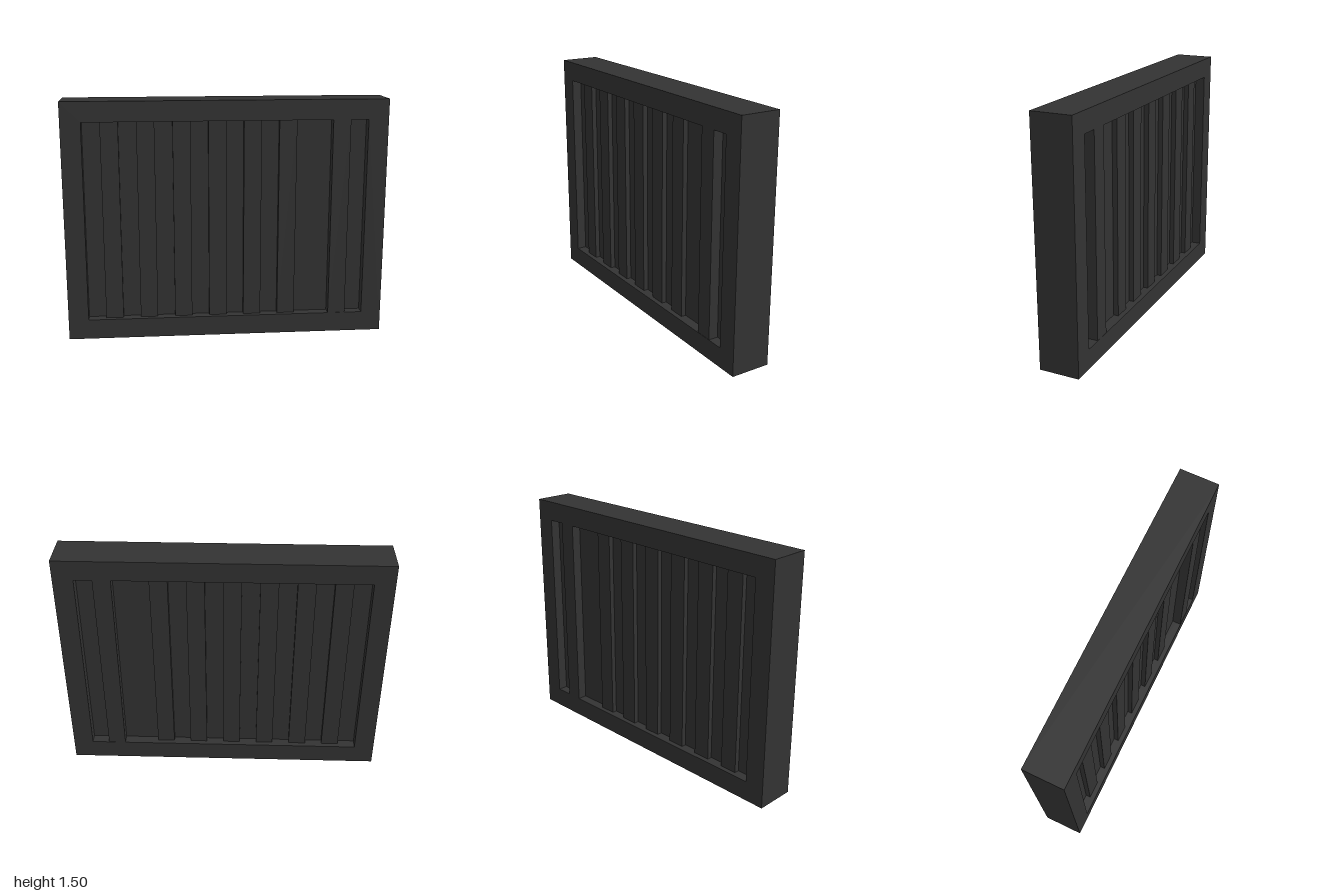
import * as THREE from 'three';

const W = 2, H = 1.5, D = 0.25, BORDER = 0.125;
const innerW = W - 2 * BORDER, innerH = H - 2 * BORDER;
const STRIP = innerW / 16;

export function createModel() {
  const group = new THREE.Group();
  const charcoal = new THREE.MeshStandardMaterial({ color: 0x333333 });
  charcoal.name = 'charcoal';

  const add = (name, geometry, x, y, z) => {
    const mesh = new THREE.Mesh(geometry, charcoal);
    mesh.name = name;
    mesh.position.set(x, y, z);
    group.add(mesh);
  };

  // Rectangular frame with a single opening
  const outline = new THREE.Shape([
    new THREE.Vector2(-W / 2, 0), new THREE.Vector2(W / 2, 0),
    new THREE.Vector2(W / 2, H), new THREE.Vector2(-W / 2, H),
  ]);
  outline.holes.push(new THREE.Path([
    new THREE.Vector2(-innerW / 2, BORDER), new THREE.Vector2(-innerW / 2, H - BORDER),
    new THREE.Vector2(innerW / 2, H - BORDER), new THREE.Vector2(innerW / 2, BORDER),
  ]));
  add('frame', new THREE.ExtrudeGeometry(outline, { depth: D, bevelEnabled: false }), 0, 0, -D / 2);

  // Recessed panel filling the opening
  add('panel', new THREE.BoxGeometry(innerW, innerH, D / 2), 0, H / 2, 0);

  // Vertical slats, raised equally on both faces
  const slat = (name, index, depth) => add(
    name, new THREE.BoxGeometry(STRIP, innerH, depth),
    -innerW / 2 + (index + 0.5) * STRIP, H / 2, 0);
  for (let i = 1; i <= 11; i += 2) slat('slat', i, D * 0.75);

  // Thicker handle slat near the left edge
  slat('handleSlat', 14, 0.246);

  return group;
}
